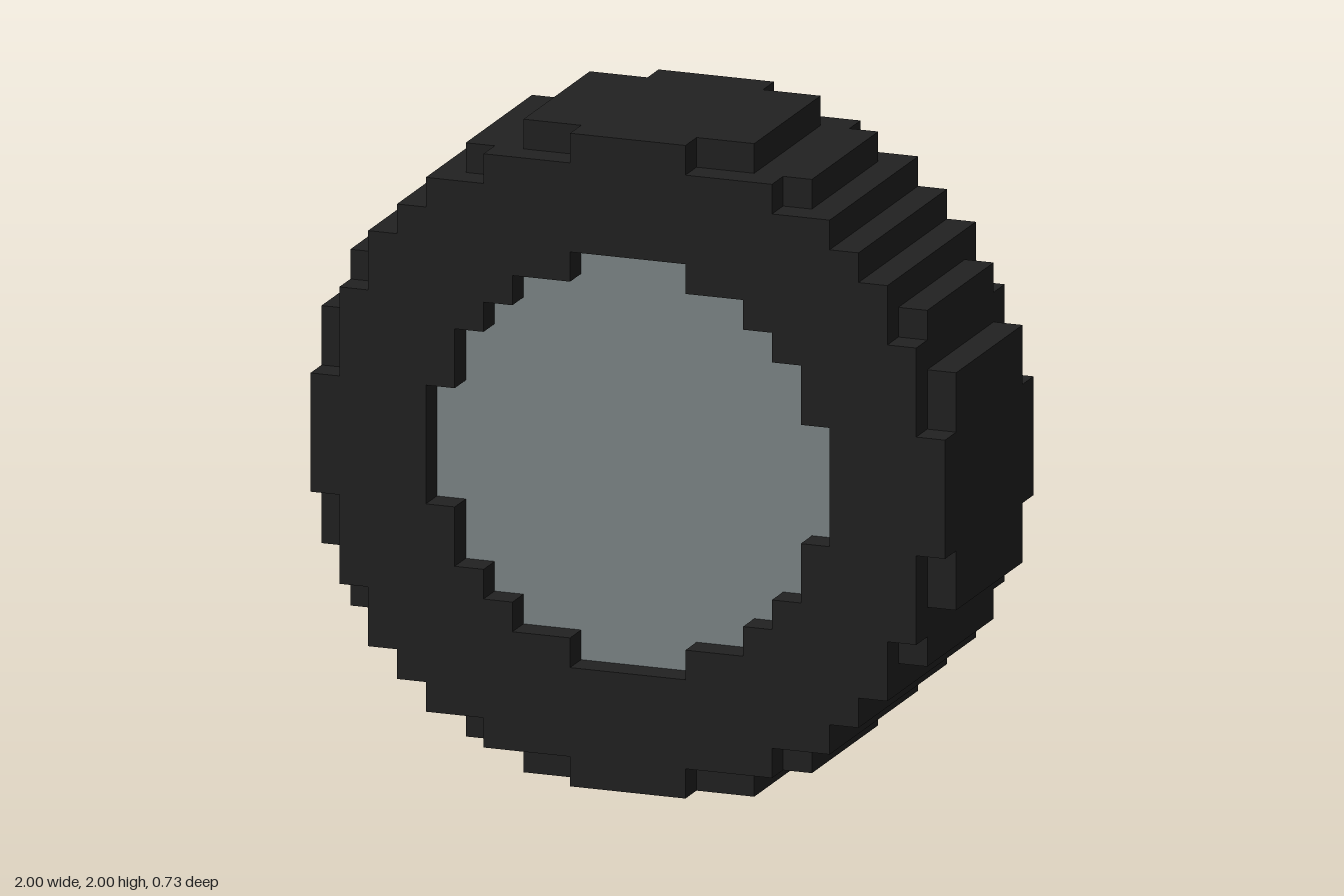
import * as THREE from 'three';

const U = 1 / 11; // one block

// Half-widths in blocks of each row, from the axle outwards
const TREAD = [11, 11, 11, 11, 10, 10, 9, 8, 7, 6, 4];
const SIDEWALL = [11, 11, 10, 10, 10, 9, 9, 8, 7, 5, 2];
const HUB = [7, 7, 6, 6, 5, 4, 2];

// Stepped round outline, mirrored in x and y, counter-clockwise
function outline(rows) {
  const n = rows.length;
  const width = (i) => rows[i >= 0 ? i : -1 - i];
  const right = [[width(-n), -n]];
  for (let i = -n + 1; i < n; i++) {
    if (width(i) !== width(i - 1)) right.push([width(i - 1), i], [width(i), i]);
  }
  right.push([width(n - 1), n]);
  const left = right.map(([x, y]) => [-x, y]).reverse();
  return [...right, ...left].map(([x, y]) => new THREE.Vector2(x * U, y * U));
}

// Block slab between two depths, optionally with the hub opening cut out
function slab(name, rows, z0, z1, material, open) {
  const shape = new THREE.Shape(outline(rows));
  if (open) shape.holes.push(new THREE.Path(outline(HUB).reverse()));
  const geometry = new THREE.ExtrudeGeometry(shape, { depth: (z1 - z0) * U, bevelEnabled: false });
  geometry.translate(0, 1, z0 * U);
  const mesh = new THREE.Mesh(geometry, material);
  mesh.name = name;
  return mesh;
}

export function createModel() {
  const rubber = new THREE.MeshStandardMaterial({ color: 0x222222 });
  rubber.name = 'black rubber';
  const metal = new THREE.MeshStandardMaterial({ color: 0x7f8889 });
  metal.name = 'grey metal';

  const wheel = new THREE.Group();
  wheel.name = 'wheel';
  wheel.add(
    slab('tyreTread', TREAD, -3, 3, rubber, true),
    slab('frontSidewall', SIDEWALL, 3, 4, rubber, true),
    slab('backSidewall', SIDEWALL, -4, -3, rubber, true),
    // Hub sits one block below each sidewall
    slab('hub', HUB, -3, 3, metal, false),
  );
  return wheel;
}
